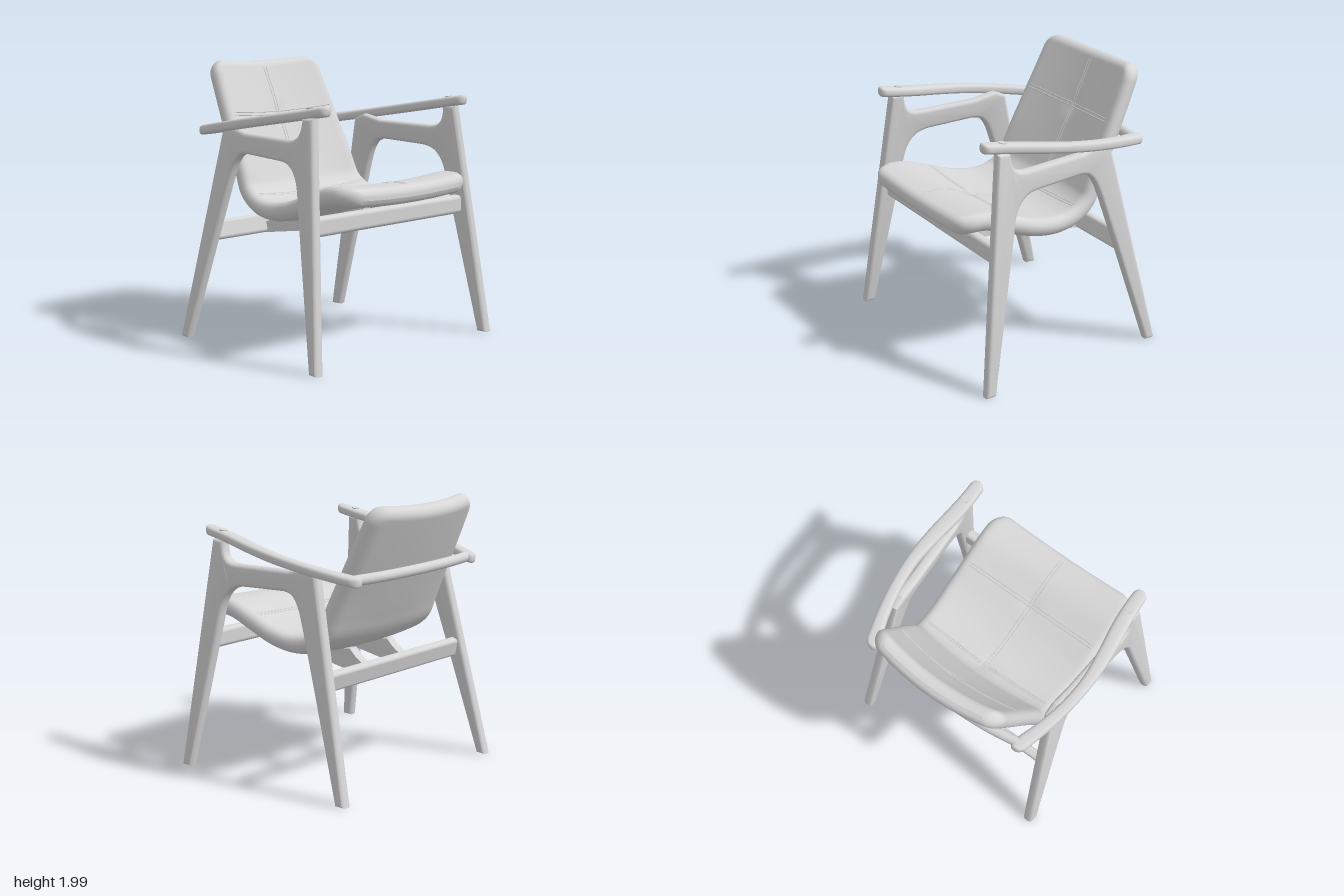
import * as THREE from 'three';
import { toCreasedNormals } from 'three/addons/utils/BufferGeometryUtils.js';
import { RoundedBoxGeometry } from 'three/addons/geometries/RoundedBoxGeometry.js';

const V = (x, y, z) => new THREE.Vector3(x, y, z);

// Skin a list of closed rings (counterclockwise seen from +z, running front to back).
function loft(rings) {
  const n = rings[0].length, pos = [], idx = [];
  rings.forEach((r) => r.forEach((p) => pos.push(p.x, p.y, p.z)));
  for (let i = 0; i < rings.length - 1; i++) {
    for (let j = 0; j < n; j++) {
      const a = i * n + j, b = i * n + (j + 1) % n;
      idx.push(a, a + n, b, b, a + n, b + n);
    }
  }
  const g = new THREE.BufferGeometry();
  g.setAttribute('position', new THREE.Float32BufferAttribute(pos, 3));
  g.setIndex(idx);
  g.computeVertexNormals();
  return g;
}

// Piecewise linear lookup in [key, value, ...] rows.
function lookup(rows, t, col = 1) {
  let i = 0;
  while (i < rows.length - 2 && t > rows[i + 1][0]) i++;
  const k = (t - rows[i][0]) / (rows[i + 1][0] - rows[i][0]);
  return THREE.MathUtils.lerp(rows[i][col], rows[i + 1][col], k);
}

// Quarter-circle easing used to round off ends: 0 at d = 0, 1 from d = r.
const roundEnd = (d, r) => (d >= r ? 1 : Math.sqrt(Math.max(0, 1 - (1 - d / r) ** 2)));

// ---- Upholstered shell: one spine running from the seat front to the top of the back
const spine = new THREE.CatmullRomCurve3([
  [0.82, 1.105], [0.74, 1.12], [0.6, 1.115], [0.4, 1.045], [0.2, 0.975], [0, 0.945],
  [-0.18, 0.975], [-0.31, 1.06], [-0.385, 1.19], [-0.57, 1.56], [-0.68, 1.79], [-0.76, 1.965],
].map(([z, y]) => V(0, y, z)));
const HALF = 0.066;
const widths = [[0, 0.62], [0.3, 0.615], [0.48, 0.59], [0.8, 0.548], [1, 0.515]];
const buttons = [0.2, 0.48, 0.8];
const spineLength = spine.getLength();

function shellPoint(s, x, n) {
  const c = spine.getPointAt(s), t = spine.getTangentAt(s), w = lookup(widths, s);
  let off = n + THREE.MathUtils.lerp(0.03, 0.07, THREE.MathUtils.smoothstep(s, 0.4, 0.7)) * (x / w) ** 2;
  // Shallow dimples where the seams cross
  if (n > 0) for (const b of buttons) off -= 0.012 * Math.exp(-(x * x + ((s - b) * spineLength) ** 2) / 0.004);
  return V(x, c.y - t.z * off, c.z + t.y * off);
}

function shellGeometry() {
  const rings = [], N = 90, COLS = 32, ARC = 8;
  for (let i = 0; i <= N; i++) {
    const q = i / N, s = q - 0.8 * Math.sin(2 * Math.PI * q) / (2 * Math.PI); // denser at the ends
    const d = Math.min(s, 1 - s) * spineLength, r = s < 0.5 ? 0.15 : 0.12;
    const h = HALF * roundEnd(d, HALF);
    const w = lookup(widths, s) - r * (1 - roundEnd(d, r)) - h;
    const ring = [];
    for (const side of [1, -1]) {
      for (let k = 0; k <= ARC; k++) {
        const a = -Math.PI / 2 + Math.PI * k / ARC;
        ring.push(shellPoint(s, side * (w + h * Math.cos(a)), side * h * Math.sin(a)));
      }
      for (let k = 1; k < COLS; k++) ring.push(shellPoint(s, side * w * (1 - 2 * k / COLS), side * h));
    }
    rings.push(ring);
  }
  return loft(rings);
}

function seamGeometry(pointAt) {
  const pts = [];
  for (let i = 0; i <= 40; i++) pts.push(pointAt(i / 40));
  return new THREE.TubeGeometry(new THREE.CatmullRomCurve3(pts), 80, 0.0045, 5);
}

// ---- Side frame: both legs and the arched stretcher, cut from one slab
const frameX = (y, z) => 0.822 - 0.0886 * y + 0.063 * z;

function frameGeometry(side) {
  const s = new THREE.Shape();
  s.moveTo(0.8, 0);
  s.lineTo(0.6, 1.67);
  s.lineTo(0.5, 1.67);
  s.bezierCurveTo(0.49, 1.56, 0.47, 1.52, 0.37, 1.515);
  s.lineTo(-0.1, 1.525);
  s.lineTo(-0.26, 1.56);
  s.lineTo(-0.35, 1.52);
  s.lineTo(-0.705, 0);
  s.lineTo(-0.625, 0);
  s.lineTo(-0.39, 0.74);
  s.lineTo(-0.26, 1.14);
  s.bezierCurveTo(-0.2, 1.32, -0.17, 1.38, -0.06, 1.38);
  s.lineTo(0.28, 1.365);
  s.bezierCurveTo(0.44, 1.36, 0.48, 1.25, 0.5, 1.1);
  s.lineTo(0.72, 0);
  const g = new THREE.ExtrudeGeometry(s, {
    depth: 0.024, bevelThickness: 0.028, bevelSize: 0.026, bevelOffset: -0.026, bevelSegments: 4, curveSegments: 14,
  });
  g.translate(0, 0, -0.012).rotateY(-Math.PI / 2);
  const p = g.attributes.position;
  for (let i = 0; i < p.count; i++) p.setX(i, p.getX(i) + side * frameX(p.getY(i), p.getZ(i)));
  return toCreasedNormals(g, 0.6);
}

// ---- Armrest: z, centre x, half width
const armRows = [
  [-0.67, 0.61, 0.05], [-0.58, 0.635, 0.052], [-0.42, 0.685, 0.046], [-0.2, 0.73, 0.042], [0, 0.745, 0.044],
  [0.2, 0.732, 0.052], [0.4, 0.705, 0.056], [0.55, 0.692, 0.053], [0.7, 0.69, 0.05],
];
const armY = (z) => 1.607 + 0.164 * z;
const armCurve = new THREE.CatmullRomCurve3(armRows.map(([z, x, w]) => V(x, w, z)));

function armGeometry(side) {
  const rings = [], N = 60;
  for (let i = 0; i <= N; i++) {
    const q = i / N, t = q - 0.8 * Math.sin(2 * Math.PI * q) / (2 * Math.PI);
    const c = armCurve.getPoint(1 - t), z = c.z;
    const d = Math.min(0.7 - z, z + 0.67);
    const w = c.y * roundEnd(d, 0.05), h = 0.036 * roundEnd(d, 0.02), ring = [];
    for (let k = 0; k < 24; k++) {
      const a = k / 24 * Math.PI * 2, co = Math.cos(a), si = Math.sin(a);
      ring.push(V(side * c.x + w * Math.sign(co) * Math.abs(co) ** 0.7, armY(z) + h * Math.sign(si) * Math.abs(si) ** 0.7, z));
    }
    rings.push(ring);
  }
  return loft(rings);
}

// ---- Seat bearer: top edge follows the underside of the shell
function bearerGeometry() {
  const s = new THREE.Shape();
  s.moveTo(0.58, 0.885);
  s.lineTo(0.58, 1.03);
  s.splineThru([[0.4, 0.98], [0.2, 0.915], [0, 0.89], [-0.24, 0.92]].map(([x, y]) => new THREE.Vector2(x, y)));
  s.quadraticCurveTo(-0.32, 0.83, -0.43, 0.81);
  s.lineTo(-0.43, 0.73);
  const g = new THREE.ExtrudeGeometry(s, { depth: 0.07, bevelEnabled: false, curveSegments: 16 });
  return toCreasedNormals(g.translate(0, 0, -0.035).rotateY(-Math.PI / 2), 0.5);
}

export function createModel() {
  const model = new THREE.Group();
  model.name = 'armchair';
  const grey = new THREE.MeshStandardMaterial({ color: 0xd6d6d6 });
  grey.name = 'light grey';
  const add = (name, geometry) => {
    const m = new THREE.Mesh(geometry, grey);
    m.name = name;
    model.add(m);
    return m;
  };

  // Shell with paired seam lines
  add('seatAndBack', shellGeometry());
  for (const o of [-0.012, 0.012]) {
    add('centreSeam', seamGeometry((t) => shellPoint(0.035 + 0.93 * t, o, HALF - 0.001)));
    for (const b of buttons) {
      const s = b + o / spineLength, w = lookup(widths, s) - HALF;
      add('crossSeam', seamGeometry((t) => shellPoint(s, w * (2 * t - 1), HALF - 0.001)));
    }
  }

  // Sides
  for (const side of [1, -1]) {
    const name = side > 0 ? 'left' : 'right';
    add(name + 'Frame', frameGeometry(side));
    add(name + 'Armrest', armGeometry(side));
    const plug = add(name + 'Plug', new THREE.CylinderGeometry(0.028, 0.028, 0.02, 20));
    plug.position.set(side * 0.695, armY(0.54) + 0.031, 0.54);
    plug.rotation.x = -0.163;
    add(name + 'Bearer', bearerGeometry()).position.x = side * 0.2;
  }

  // Cross rails
  add('frontRail', new RoundedBoxGeometry(1.5, 0.135, 0.08, 4, 0.03)).position.set(0, 0.95, 0.6);
  const rear = add('rearRail', new RoundedBoxGeometry(1.42, 0.14, 0.07, 4, 0.025));
  rear.position.set(0, 0.8, -0.44);
  rear.rotation.x = -0.25;

  // Bowed bar behind the back, joining the armrests
  const bar = new THREE.CatmullRomCurve3([[-0.63, -0.605], [-0.35, -0.645], [0, -0.66], [0.35, -0.645], [0.63, -0.605]]
    .map(([x, z]) => V(x, 1.507, z)));
  add('backBar', new THREE.TubeGeometry(bar, 40, 0.037, 16));
  return model;
}
